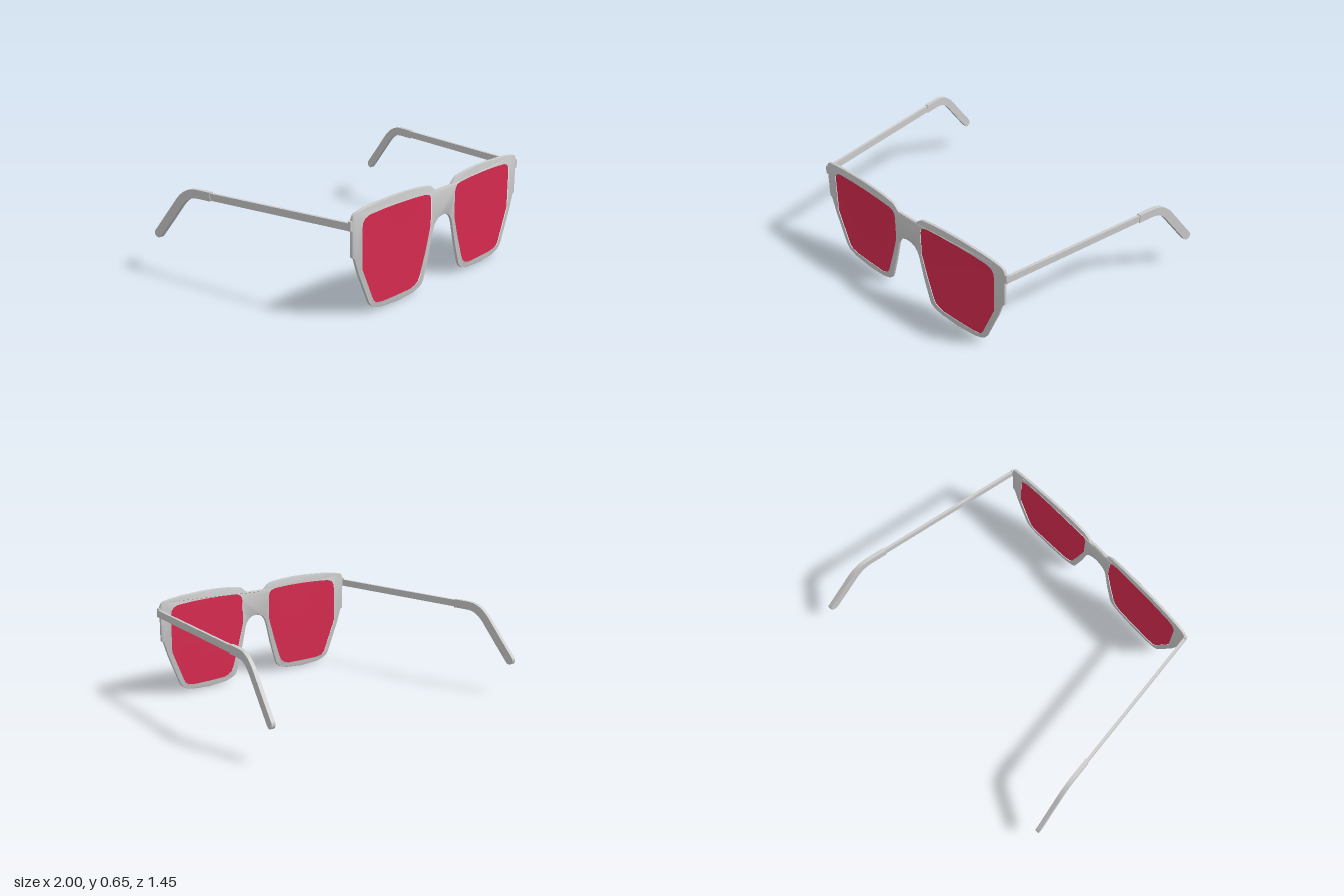
import * as THREE from 'three';
import { toCreasedNormals } from 'three/addons/utils/BufferGeometryUtils.js';

const grey = new THREE.MeshStandardMaterial({ color: 0xcccccc });
const red = new THREE.MeshStandardMaterial({ color: 0xd92b50, side: THREE.DoubleSide });

const vec = (pts) => pts.map(([x, y]) => new THREE.Vector2(x, y));
const mirror = (pts) => pts.map(([x, y]) => [-x, y]).reverse();

// Half of the frame outline, from the bridge top round to the bridge underside
const rim = [
  [0.075, 0.596], [0.1, 0.62], [0.125, 0.636], [0.22, 0.649], [0.32, 0.654], [0.435, 0.655],
  [0.6, 0.647], [0.69, 0.637], [0.745, 0.626], [0.76, 0.615], [0.768, 0.595], [0.768, 0.375],
  [0.75, 0.362], [0.72, 0.27], [0.635, 0.07], [0.62, 0.048], [0.595, 0.03], [0.54, 0.014],
  [0.4, 0.004], [0.26, 0.014], [0.205, 0.03], [0.18, 0.048], [0.168, 0.07], [0.125, 0.21],
  [0.09, 0.355], [0.078, 0.385], [0.058, 0.41], [0.03, 0.424], [0.008, 0.428],
];

// Lens opening on the +x side
const opening = [
  [0.108, 0.54], [0.114, 0.565], [0.13, 0.585], [0.165, 0.595], [0.28, 0.601], [0.4, 0.603],
  [0.52, 0.601], [0.635, 0.594], [0.668, 0.582], [0.687, 0.56], [0.694, 0.525], [0.694, 0.29],
  [0.61, 0.09], [0.596, 0.066], [0.575, 0.05], [0.515, 0.041], [0.4, 0.04], [0.275, 0.042],
  [0.235, 0.055], [0.212, 0.072], [0.197, 0.1], [0.15, 0.24], [0.108, 0.385],
];

// Sweep the front gently back towards the temples
function bow(geometry) {
  const p = geometry.attributes.position;
  for (let i = 0; i < p.count; i++) {
    p.setZ(i, p.getZ(i) - 0.022 * Math.pow(Math.abs(p.getX(i)) / 0.78, 1.4));
  }
  return toCreasedNormals(geometry, 0.6);
}

function named(name, geometry, material) {
  const mesh = new THREE.Mesh(geometry, material);
  mesh.name = name;
  return mesh;
}

// Flat side-on outline following a [z, y] centre line, ending in a half circle
function stripOutline(path, halfHeight, roundEnd) {
  const curve = new THREE.SplineCurve(vec(path.map(([z, y]) => [-z, y])));
  const steps = path.length > 2 ? 28 : 1;
  const upper = [], lower = [];
  for (let i = 0; i <= steps; i++) {
    const c = curve.getPoint(i / steps), t = curve.getTangent(i / steps);
    const n = new THREE.Vector2(-t.y, t.x).multiplyScalar(halfHeight);
    upper.push(c.clone().add(n));
    lower.push(c.clone().sub(n));
  }
  const cap = [];
  if (roundEnd) {
    const c = curve.getPoint(1), t = curve.getTangent(1), a = Math.atan2(t.y, t.x);
    for (let i = 1; i < 12; i++) {
      const b = a + Math.PI / 2 - (Math.PI * i) / 12;
      cap.push(new THREE.Vector2(c.x + halfHeight * Math.cos(b), c.y + halfHeight * Math.sin(b)));
    }
  }
  return new THREE.Shape([...upper, ...cap, ...lower.reverse()]);
}

// Extrude a strip sideways and splay it outwards as it runs back
function templePart(shape, width, side) {
  const g = new THREE.ExtrudeGeometry(shape, { depth: width, bevelEnabled: false });
  g.translate(0, 0, -width / 2).rotateY(Math.PI / 2);
  const p = g.attributes.position;
  for (let i = 0; i < p.count; i++) {
    p.setX(i, p.getX(i) + side * (0.777 + (0.695 - p.getZ(i)) * 0.147));
  }
  return toCreasedNormals(g, 0.6);
}

export function createModel() {
  const model = new THREE.Group();
  model.name = 'sunglasses';

  // Front frame with two lens openings
  const frameShape = new THREE.Shape(vec([...rim, ...mirror(rim)]));
  for (const pts of [opening, mirror(opening)]) frameShape.holes.push(new THREE.Path(vec(pts)));
  const frame = new THREE.ExtrudeGeometry(frameShape, {
    depth: 0.012, bevelThickness: 0.003, bevelSize: 0.003, bevelOffset: -0.003, bevelSegments: 2,
  });
  frame.translate(0, 0, 0.712);
  model.add(named('frontFrame', bow(frame), grey));

  for (const side of [1, -1]) {
    const label = side > 0 ? 'left' : 'right';

    // Tinted lens
    const lens = new THREE.ExtrudeGeometry(
      new THREE.Shape(vec(side > 0 ? opening : mirror(opening))),
      { depth: 0.006, bevelEnabled: false });
    lens.translate(0, 0, 0.715);
    model.add(named(label + 'Lens', bow(lens), red));

    // Hinge block at the frame corner
    const hinge = named(label + 'Hinge', new THREE.BoxGeometry(0.022, 0.056, 0.018), grey);
    hinge.position.set(side * 0.773, 0.56, 0.696);
    model.add(hinge);

    // Slim temple bar, then the thicker curved ear piece
    const temple = new THREE.Group();
    temple.name = label + 'Temple';
    const bar = stripOutline([[0.7, 0.556], [-0.32, 0.54]], 0.022, false);
    const ear = stripOutline([
      [-0.27, 0.541], [-0.36, 0.54], [-0.41, 0.535], [-0.455, 0.516], [-0.5, 0.478],
      [-0.545, 0.422], [-0.62, 0.326], [-0.7, 0.225],
    ], 0.027, true);
    temple.add(named('templeBar', templePart(bar, 0.018, side), grey));
    temple.add(named('earPiece', templePart(ear, 0.026, side), grey));
    model.add(temple);
  }
  return model;
}
